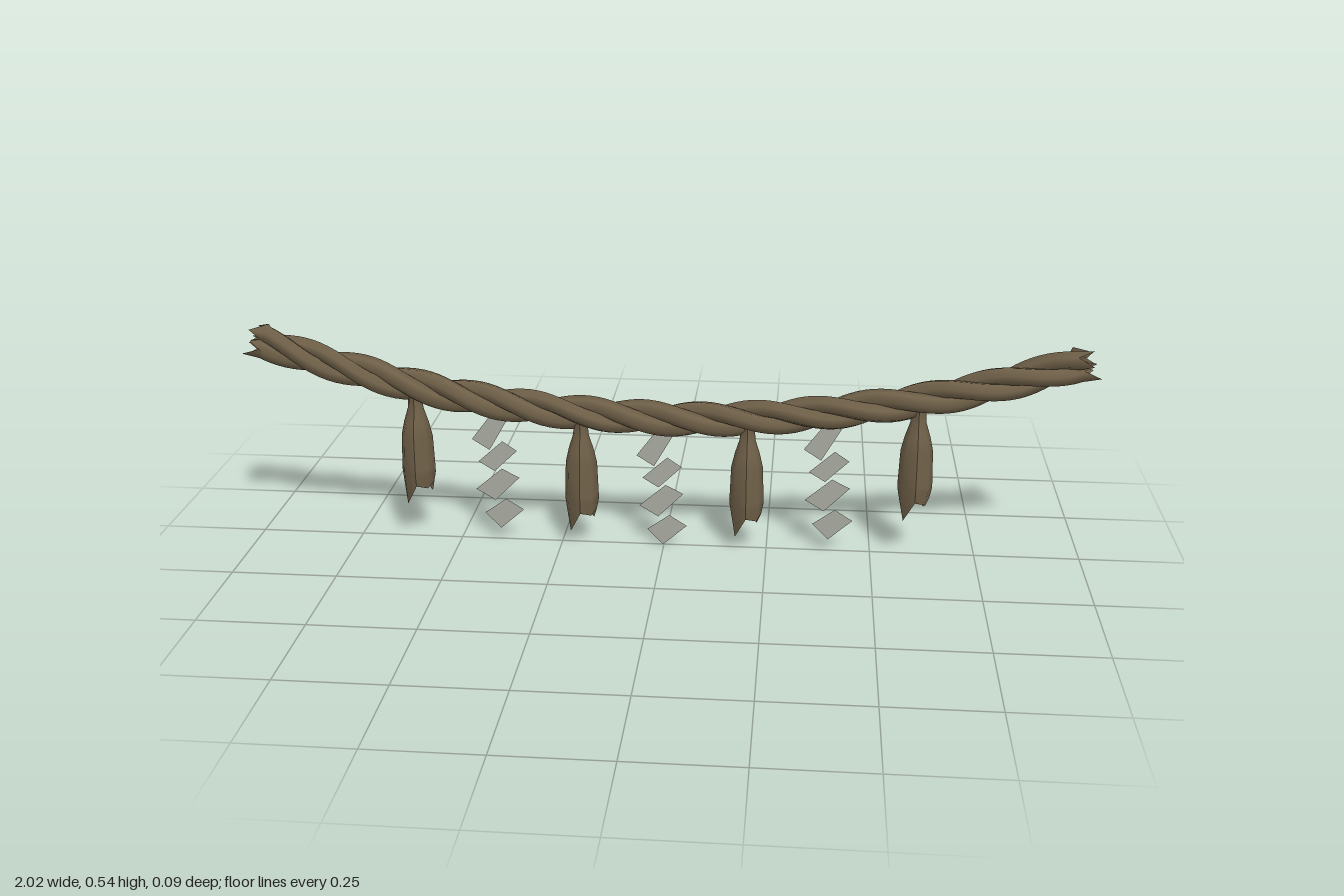
import * as THREE from 'three';

const straw = new THREE.MeshStandardMaterial({ color: 0x6f6048, side: THREE.DoubleSide });
straw.name = 'straw brown';
const paper = new THREE.MeshStandardMaterial({ color: 0xa8a9a0, side: THREE.DoubleSide });
paper.name = 'paper grey';

// Height of the sagging rope's centre line
const sag = x => 0.33 + 0.178 * x * x;

// One strand winding around the sagging centre line
class StrandCurve extends THREE.Curve {
  constructor(phase) { super(); this.phase = phase; }
  getPoint(t, out = new THREE.Vector3()) {
    const x = (t * 2 - 1) * 0.97;
    const a = this.phase + (x - 0.97) / 0.4 * Math.PI * 2;
    const slope = Math.atan(0.356 * x), r = 0.021 * Math.cos(a);
    return out.set(x - Math.sin(slope) * r, sag(x) + Math.cos(slope) * r, 0.021 * Math.sin(a));
  }
}

function makeStrand(i) {
  const sides = 6, steps = 110;
  const geo = new THREE.TubeGeometry(new StrandCurve(Math.PI / 3 + i * Math.PI * 2 / 3), steps, 0.0225, sides);
  const p = geo.attributes.position;
  // Frayed ends: alternate corners of the end rings stick out
  for (let j = 0; j <= sides; j++) {
    const jag = j % 2 ? 0.024 : -0.012;
    const last = steps * (sides + 1) + j;
    p.setX(j, p.getX(j) - jag);
    p.setX(last, p.getX(last) + jag);
  }
  const mesh = new THREE.Mesh(geo, straw);
  mesh.name = 'ropeStrand' + (i + 1);
  return mesh;
}

// Hanging straw bundle: narrow neck, flared body, ragged open hem
function makeTassel(x) {
  const profile = [[0.036, -0.235], [0.041, -0.225], [0.041, -0.19], [0.038, -0.11],
    [0.03, -0.075], [0.019, -0.04], [0.017, -0.015], [0.019, 0.0]];
  const geo = new THREE.LatheGeometry(profile.map(q => new THREE.Vector2(...q)), 8);
  const p = geo.attributes.position;
  // Hem heights around the eight corners, starting from the front (+z)
  const hem = [-0.232, -0.24, -0.23, -0.265, -0.24, -0.258, -0.232, -0.282];
  for (let s = 0; s <= 8; s++) {
    p.setY(s * profile.length, hem[s % 8]);
    p.setY(s * profile.length + 1, -0.205);
  }
  geo.computeVertexNormals();
  const mesh = new THREE.Mesh(geo, straw);
  mesh.name = 'strawTassel';
  mesh.position.set(x, sag(x) - 0.015, 0);
  return mesh;
}

// Folded paper streamer: a chain of slanted panels
function makeStreamer(x) {
  const group = new THREE.Group();
  group.name = 'paperStreamer';
  const panels = [
    [[-0.012, -0.025], [-0.066, -0.097], [-0.024, -0.124], [0.027, -0.035]],
    [[0.008, -0.1], [-0.052, -0.154], [-0.013, -0.178], [0.043, -0.124]],
    [[0.004, -0.172], [-0.06, -0.227], [-0.014, -0.255], [0.047, -0.194]],
    [[0.013, -0.25], [-0.04, -0.288], [-0.002, -0.328], [0.056, -0.277]],
  ];
  panels.forEach((pts, i) => {
    const geo = new THREE.ShapeGeometry(new THREE.Shape(pts.map(q => new THREE.Vector2(...q))));
    const mesh = new THREE.Mesh(geo, paper);
    mesh.name = 'paperPanel' + (i + 1);
    mesh.position.z = (i % 2 ? 1 : -1) * 0.0008;
    group.add(mesh);
  });
  group.position.set(x, sag(x), 0);
  return group;
}

export function createModel() {
  const model = new THREE.Group();
  model.name = 'hangingRope';
  const rope = new THREE.Group();
  rope.name = 'twistedRope';
  for (let i = 0; i < 3; i++) rope.add(makeStrand(i));
  model.add(rope);
  for (const x of [-0.6, -0.2, 0.2, 0.6]) model.add(makeTassel(x));
  for (const x of [-0.4, 0, 0.4]) model.add(makeStreamer(x));
  return model;
}
